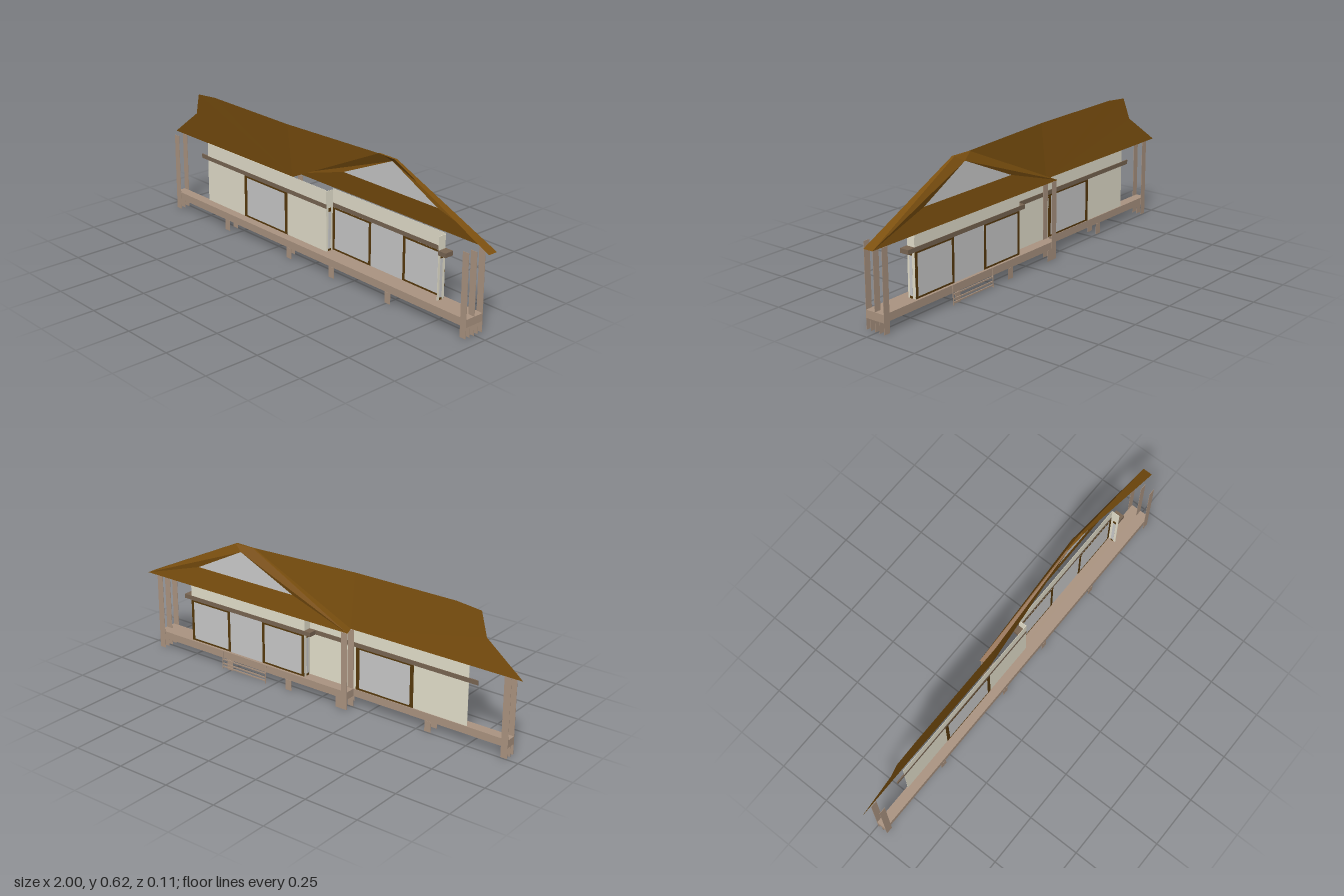
import * as THREE from 'three';

const mat = (color) => new THREE.MeshStandardMaterial({ color, side: THREE.DoubleSide, flatShading: true });

export function createModel() {
  const house = new THREE.Group();
  house.name = 'house';
  const roofMat = mat(0x7c500f), deckMat = mat(0xac9582), wallMat = mat(0xe6e2ce);
  const frameMat = mat(0x583a0c), railMat = mat(0x7a6653), paneMat = mat(0xcccccc);

  // box given by its limits on each axis
  const box = (name, m, x0, x1, y0, y1, z0, z1) => {
    const mesh = new THREE.Mesh(new THREE.BoxGeometry(x1 - x0, y1 - y0, z1 - z0), m);
    mesh.position.set((x0 + x1) / 2, (y0 + y1) / 2, (z0 + z1) / 2);
    mesh.name = name;
    house.add(mesh);
    return mesh;
  };
  // flat sheet fanned from its first corner
  const sheet = (name, m, pts) => {
    const g = new THREE.BufferGeometry();
    g.setAttribute('position', new THREE.Float32BufferAttribute(pts.flat(), 3));
    const idx = [];
    for (let i = 1; i < pts.length - 1; i++) idx.push(0, i, i + 1);
    g.setIndex(idx);
    const flat = g.toNonIndexed();
    flat.computeVertexNormals();
    const mesh = new THREE.Mesh(flat, m);
    mesh.name = name;
    house.add(mesh);
  };

  // L-shaped deck
  const front = 0.053, mid = 0.006, back = -0.042;
  box('deckLong', deckMat, -0.945, 0.945, 0.05, 0.085, mid, front);
  box('deckWing', deckMat, -0.165, 0.945, 0.05, 0.085, back, mid);

  // flat roof posts, running down to the ground
  const post = (x, z, top, name = 'post') =>
    box(name, deckMat, x - 0.016, x + 0.016, 0, top, z - 0.0008, z + 0.0008);
  post(-0.929, front, 0.37);
  post(-0.929, mid, 0.365);
  post(-0.149, mid, 0.362);
  post(-0.149, back, 0.362);
  post(0.929, front, 0.37);
  post(0.929, back, 0.362);
  post(0.929, mid, 0.362);

  // short footings under the deck
  for (const x of [-0.555, -0.12, 0.16, 0.505]) {
    post(x, front, 0.05, 'footing');
    post(x, x < -0.2 ? mid : back, 0.05, 'footing');
  }
  post(-0.929, 0.03, 0.05, 'footing');
  post(0.929, 0.03, 0.05, 'footing');
  post(0.929, -0.017, 0.05, 'footing');

  // walls: long wall, projecting wing and its two short sides
  const zLong = 0.011, zWing = -0.028;
  box('longWall', wallMat, -0.745, 0.08, 0.085, 0.37, zLong - 0.0008, zLong + 0.0008);
  box('wingWall', wallMat, 0.08, 0.745, 0.285, 0.37, zWing - 0.0008, zWing + 0.0008);
  for (const x of [0.08, 0.745]) {
    box('wingSideWall', wallMat, x - 0.001, x + 0.001, 0.085, 0.365, zWing, zLong);
    box('sidePane', paneMat, x - 0.002, x + 0.002, 0.095, 0.268, -0.014, 0);
    box('sideFrame', frameMat, x - 0.003, x + 0.003, 0.268, 0.285, -0.014, 0);
    box('sideFrame', frameMat, x - 0.003, x + 0.003, 0.085, 0.095, -0.014, 0);
  }

  // framed windows
  const framedWindow = (x0, x1, z, side) => {
    box('windowPane', paneMat, x0, x1, 0.087, 0.285, z - 0.0014, z + 0.0014);
    const t = 0.002;
    box('windowFrame', frameMat, x0, x0 + side, 0.085, 0.285, z - t, z + t);
    box('windowFrame', frameMat, x1 - side, x1, 0.085, 0.285, z - t, z + t);
    box('windowFrame', frameMat, x0, x1, 0.277, 0.285, z - t, z + t);
    box('windowFrame', frameMat, x0, x1, 0.085, 0.093, z - t, z + t);
  };
  framedWindow(-0.475, -0.175, zLong, 0.018);
  framedWindow(0.08, 0.32, zWing, 0.014);
  framedWindow(0.51, 0.745, zWing, 0.014);
  box('middlePane', paneMat, 0.32, 0.51, 0.085, 0.285, zWing - 0.001, zWing + 0.001);

  // narrow awning above the windows
  box('awningLong', railMat, -0.79, 0.08, 0.285, 0.305, 0.007, 0.0125);
  box('awningWing', railMat, 0.045, 0.785, 0.285, 0.305, -0.031, -0.027);
  box('awningReturn', railMat, 0.045, 0.08, 0.285, 0.305, -0.031, 0.0125);
  box('awningReturn', railMat, 0.745, 0.785, 0.285, 0.305, -0.031, 0.0125);

  // steps
  for (const x of [0.287, 0.543]) {
    const s = box('stepSide', deckMat, x - 0.002, x + 0.002, 0, 0.085, -0.051, -0.048);
    s.rotation.x = 0.045;
  }
  [0.012, 0.027, 0.047].forEach((y, i) =>
    box('tread', deckMat, 0.287, 0.543, y - 0.003, y + 0.003, -0.052 + i * 0.001, -0.048 + i * 0.001));

  // main roof slope
  const eave = 0.365, top = 0.615;
  const valley = [-0.15, eave, 0.003], wingL = [0.38, top, -0.005];
  sheet('mainRoof', roofMat, [
    valley, wingL, [-0.15, top, 0.03], [-0.66, top, 0.03],
    [-0.78, 0.603, 0.029], [-0.815, 0.5, 0.018], [-1, eave, 0.003],
  ]);

  // wing roof: two slopes, ridge cap and a gable end with a triangular panel
  const cornerL = [-0.17, eave, -0.046], cornerR = [1, eave, -0.046];
  const peakL = [0.38, top, -0.012], peakR = [0.48, top, -0.012];
  sheet('wingRoofRight', roofMat, [cornerR, peakR, [0.48, top, 0], [1, eave, 0.001]]);
  sheet('wingRoofLeft', roofMat, [cornerL, valley, wingL, peakL]);
  sheet('wingRidge', roofMat, [peakL, wingL, [0.48, top, 0], peakR]);
  const holeL = [0.14, 0.46, -0.033], holeR = [0.69, 0.46, -0.033], holeTop = [0.435, 0.59, -0.03];
  sheet('gableSkirt', roofMat, [cornerL, holeL, holeR, cornerR]);
  sheet('gableEdgeRight', roofMat, [cornerR, holeR, holeTop, peakR]);
  sheet('gableEdgeLeft', roofMat, [cornerL, peakL, holeTop, holeL]);
  sheet('gableEdgeTop', roofMat, [peakL, peakR, holeTop]);
  sheet('gablePanel', paneMat, [holeL, holeTop, holeR]);

  return house;
}
